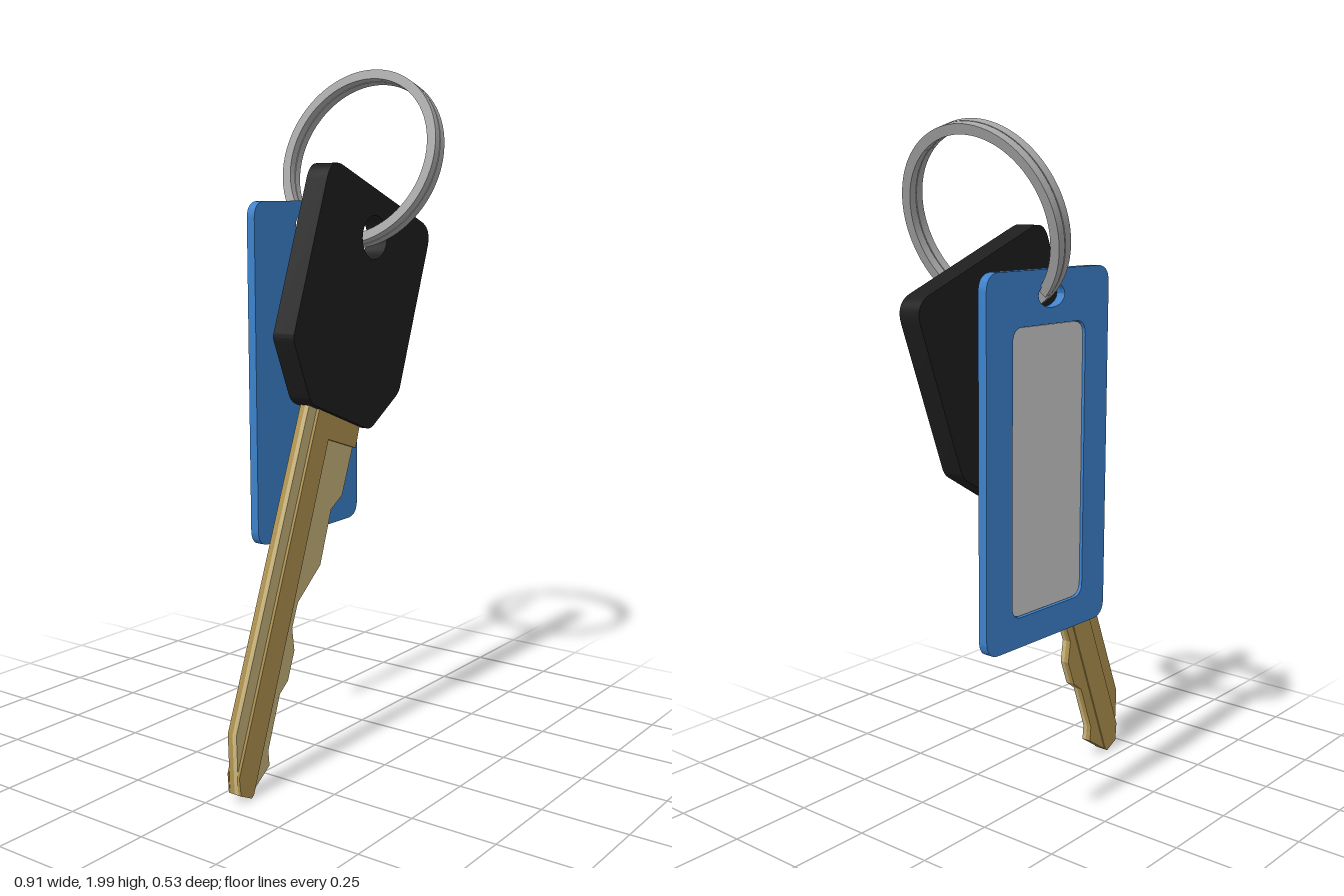
import * as THREE from 'three';
import { toCreasedNormals } from 'three/addons/utils/BufferGeometryUtils.js';

const mat = (name, color) => {
  const m = new THREE.MeshStandardMaterial({ color });
  m.name = name;
  return m;
};

// Polygon path whose corners are rounded; each point is [x, y, cornerRadius]
function roundedPath(points, PathType = THREE.Shape) {
  const path = new PathType();
  const n = points.length;
  points.forEach(([x, y, r = 0], i) => {
    const corner = new THREE.Vector2(x, y);
    const toward = (j) => {
      const q = points[(j + n) % n];
      return new THREE.Vector2(q[0] - x, q[1] - y).setLength(r).add(corner);
    };
    const a = toward(i - 1), b = toward(i + 1);
    if (i === 0) path.moveTo(a.x, a.y);
    else path.lineTo(a.x, a.y);
    if (r > 0) path.quadraticCurveTo(x, y, b.x, b.y);
  });
  path.closePath();
  return path;
}

const rect = (x0, y0, x1, y1, r) => [[x0, y0, r], [x1, y0, r], [x1, y1, r], [x0, y1, r]];

function ellipseHole(x, y, rx, ry) {
  const p = new THREE.Path();
  p.absellipse(x, y, rx, ry, 0, Math.PI * 2, true);
  return p;
}

// Flat plate of a shape between two z planes
function plate(name, points, z0, z1, material, holes = []) {
  const shape = roundedPath(points);
  shape.holes.push(...holes);
  const geo = new THREE.ExtrudeGeometry(shape, { depth: z1 - z0, bevelEnabled: false, curveSegments: 10 });
  geo.translate(0, 0, z0);
  const mesh = new THREE.Mesh(toCreasedNormals(geo, 0.5), material);
  mesh.name = name;
  return mesh;
}

// Split ring: a rectangular wire wound almost twice, stepping sideways between turns
function splitRingGeometry() {
  const inner = 0.237, outer = 0.265, half = 0.012, steps = 160;
  const start = -0.08, end = Math.PI * 4 - 0.75;
  const pos = [], index = [];
  for (let i = 0; i <= steps; i++) {
    const t = start + (end - start) * i / steps;
    const s = THREE.MathUtils.smoothstep(t, Math.PI * 2 - 0.95, Math.PI * 2 + 0.1);
    const x = THREE.MathUtils.lerp(-0.0135, 0.0135, s);
    for (const [r, dx] of [[inner, -half], [outer, -half], [outer, half], [inner, half]])
      pos.push(x + dx, -r * Math.cos(t), r * Math.sin(t));
    if (i === steps) break;
    for (let k = 0; k < 4; k++) {
      const a = i * 4 + k, b = i * 4 + (k + 1) % 4;
      index.push(a, b, b + 4, a, b + 4, a + 4);
    }
  }
  const e = steps * 4;
  index.push(0, 3, 2, 0, 2, 1, e, e + 1, e + 2, e, e + 2, e + 3);
  const geo = new THREE.BufferGeometry();
  geo.setAttribute('position', new THREE.Float32BufferAttribute(pos, 3));
  geo.setIndex(index);
  return toCreasedNormals(geo, 0.6);
}

export function createModel() {
  const black = mat('black plastic', 0x1e1e1e);
  const brass = mat('brass', 0xb0924f);
  const paleBrass = mat('pale cut brass', 0xc8b47c);
  const blue = mat('blue plastic', 0x3c82cd);
  const paper = mat('label grey', 0xcccccc);
  const steel = mat('steel', 0xa6a6a6);
  const model = new THREE.Group();
  model.name = 'keyring';

  // Key: plastic head
  const key = new THREE.Group();
  key.name = 'key';
  key.add(plate('keyHead', [
    [-0.235, 1.25, 0.012], [-0.155, 1.065, 0.025], [0.135, 0.955, 0.025],
    [0.29, 1.05, 0.02], [0.463, 1.535, 0.06], [-0.06, 1.735, 0.06],
  ], 0.03, 0.1, black, [ellipseHole(0.155, 1.513, 0.063, 0.063)]));

  // Key: toothed blade, with a pale milled front layer and raised ribs
  const blade = [
    [-0.09, 1.16], [-0.457, 0.2], [-0.45, 0.03], [-0.405, 0.008], [-0.315, 0.07],
    [-0.32, 0.115], [-0.267, 0.262], [-0.23, 0.29], [-0.2, 0.37], [-0.21, 0.437],
    [-0.183, 0.505], [-0.077, 0.59], [-0.024, 0.743], [0.03, 0.775], [0.1, 0.955], [0.13, 1.05],
  ];
  const frontRib = [
    [-0.053, 1.15], [-0.457, 0.082], [-0.45, 0.03], [-0.405, 0.008], [-0.395, 0.015],
    [-0.05, 0.95], [0.085, 0.907], [0.1, 0.955], [0.13, 1.05],
  ];
  const backRib = [[-0.053, 1.15], [-0.455, 0.087], [-0.45, 0.03], [-0.405, 0.008], [-0.395, 0.015], [0.013, 1.12]];
  key.add(
    plate('bladeBack', blade, 0.045, 0.061, brass),
    plate('bladeFront', blade, 0.061, 0.075, paleBrass),
    plate('bladeFrontRib', frontRib, 0.075, 0.084, brass),
    plate('bladeBackRib', backRib, 0.041, 0.045, brass),
  );
  model.add(key);

  // Tag: plain front plate, framed back, label set into the frame
  const tag = new THREE.Group();
  tag.name = 'tag';
  const outline = rect(-0.255, -0.504, 0.255, 0.504, 0.05);
  const slot = () => ellipseHole(-0.005, 0.436, 0.055, 0.033);
  const window = roundedPath(rect(-0.152, -0.42, 0.152, 0.36, 0.04), THREE.Path);
  tag.add(
    plate('tagFront', outline, -0.001, 0.0135, blue, [slot()]),
    plate('tagBackFrame', outline, -0.0135, -0.001, blue, [slot(), window]),
    plate('tagLabel', rect(-0.15, -0.418, 0.15, 0.358, 0.04), -0.006, -0.001, paper),
  );
  tag.position.set(0.17, 1.115, -0.1615);
  tag.rotation.z = 0.011;
  model.add(tag);

  // Split ring through both holes
  const ring = new THREE.Mesh(splitRingGeometry(), steel);
  ring.name = 'splitRing';
  ring.position.set(0.228, 1.739, 0);
  ring.rotation.z = -0.3;
  model.add(ring);

  return model;
}
